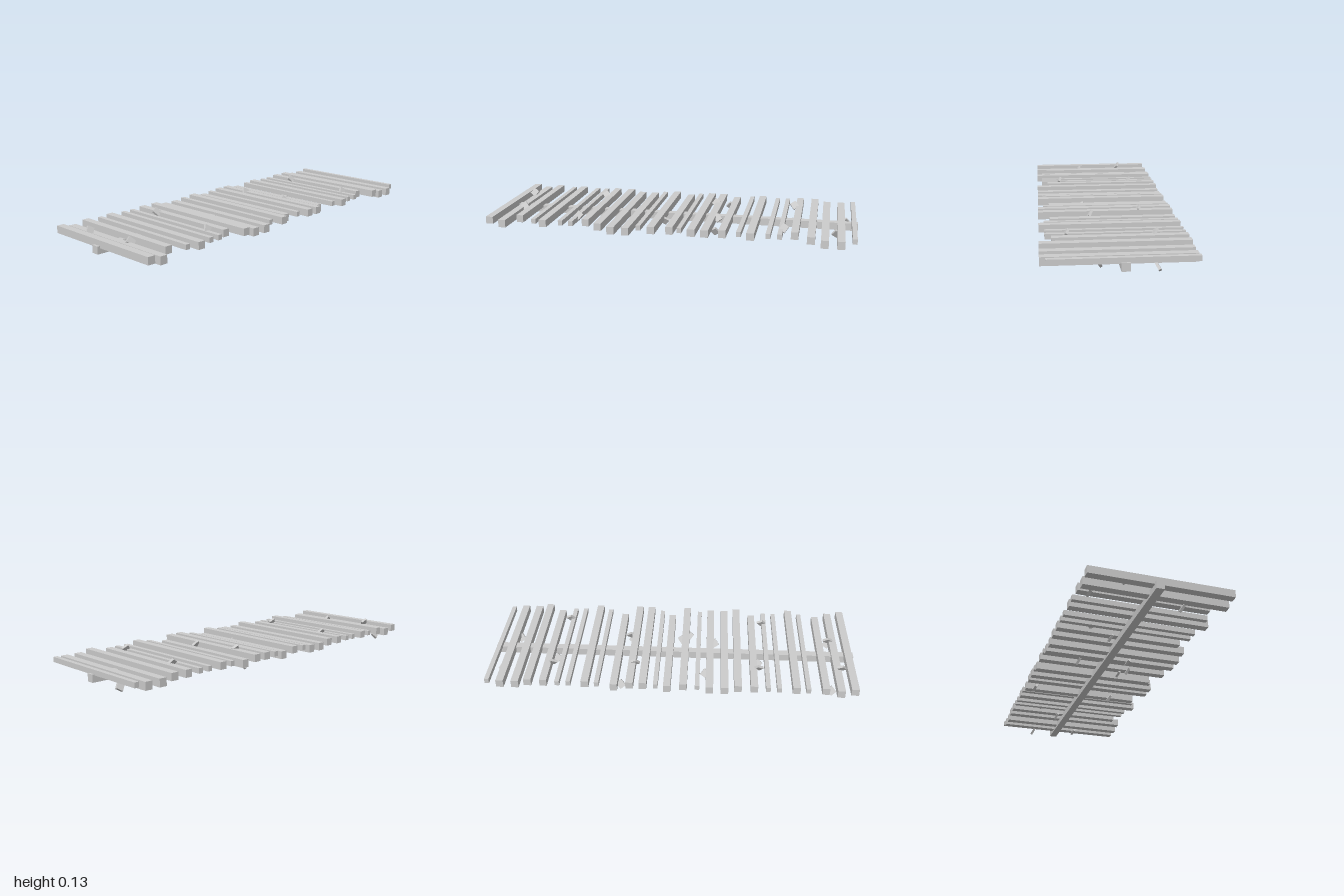
import * as THREE from 'three';

const material = new THREE.MeshStandardMaterial({ color: 0xcccccc, flatShading: true });
const BACK = -0.36;

function addBox(group, name, size, position) {
  const mesh = new THREE.Mesh(new THREE.BoxGeometry(...size), material);
  mesh.name = name;
  mesh.position.set(...position);
  group.add(mesh);
  return mesh;
}

export function createModel() {
  const model = new THREE.Group();
  model.name = 'slattedWalkway';

  // Long beam running under all the slats
  addBox(model, 'beam', [2, 0.04, 0.041], [0, 0.055, -0.02]);

  // Slat kinds: width, bottom, top, front end
  const kinds = {
    high: [0.04, 0.064, 0.103, 0.36],
    low: [0.04, 0.047, 0.089, 0.36],
    highShort: [0.038, 0.064, 0.103, 0.3],
    lowShort: [0.038, 0.047, 0.089, 0.3],
    thin: [0.024, 0.07, 0.097, 0.332],
  };
  const slats = [
    [-0.966, 'high'], [-0.896, 'low'], [-0.815, 'highShort'], [-0.724, 'thin'],
    [-0.662, 'high'], [-0.572, 'thin'], [-0.514, 'thin'], [-0.441, 'highShort'],
    [-0.355, 'high'], [-0.285, 'low'], [-0.205, 'low'], [-0.14, 'thin'],
    [-0.066, 'high'], [0.02, 'lowShort'], [0.08, 'thin'], [0.148, 'high'],
    [0.218, 'high'], [0.302, 'lowShort'], [0.392, 'thin'], [0.455, 'high'],
    [0.543, 'thin'], [0.602, 'thin'], [0.676, 'highShort'], [0.76, 'high'],
    [0.829, 'low'], [0.91, 'low'], [0.977, 'thin'],
  ];
  for (const [x, kind] of slats) {
    const [width, bottom, top, front] = kinds[kind];
    addBox(model, 'slat', [width, top - bottom, front - BACK],
      [x, (top + bottom) / 2, (front + BACK) / 2]);
  }

  // Broken splinters: x, y, z, in-plane turn, lean (negative stands up, positive hangs down)
  const splinters = [
    [-0.916, 0.1, -0.176, -0.6, -0.55], [-0.87, 0.09, 0.088, 0.7, -0.55],
    [-0.5, 0.1, 0.228, -0.6, -0.5], [-0.468, 0.103, -0.199, 0.6, -0.6],
    [-0.875, 0.029, 0.136, 0.6, 0.5], [-0.85, 0.05, -0.308, -0.7, 0.5],
    [-0.47, 0.042, -0.084, 0.7, 0.5], [-0.23, 0.044, 0.092, -0.6, 0.5],
    [-0.18, 0.033, -0.172, 0.6, 0.5],
  ];
  const addSplinter = ([x, y, z, turn, lean]) => {
    const mesh = addBox(model, 'splinter', [0.036, 0.04, 0.013], [x, y, z]);
    mesh.rotation.set(lean, 0, turn);
  };
  // The same set of splinters repeats along the walkway
  for (const shift of [0, 1.117]) {
    for (const [x, ...rest] of splinters) addSplinter([x + shift, ...rest]);
  }
  addSplinter([-0.085, 0.06, 0.138, 0.6, 0.5]);
  addSplinter([-0.045, 0.06, 0.1, -0.6, 0.5]);

  return model;
}
